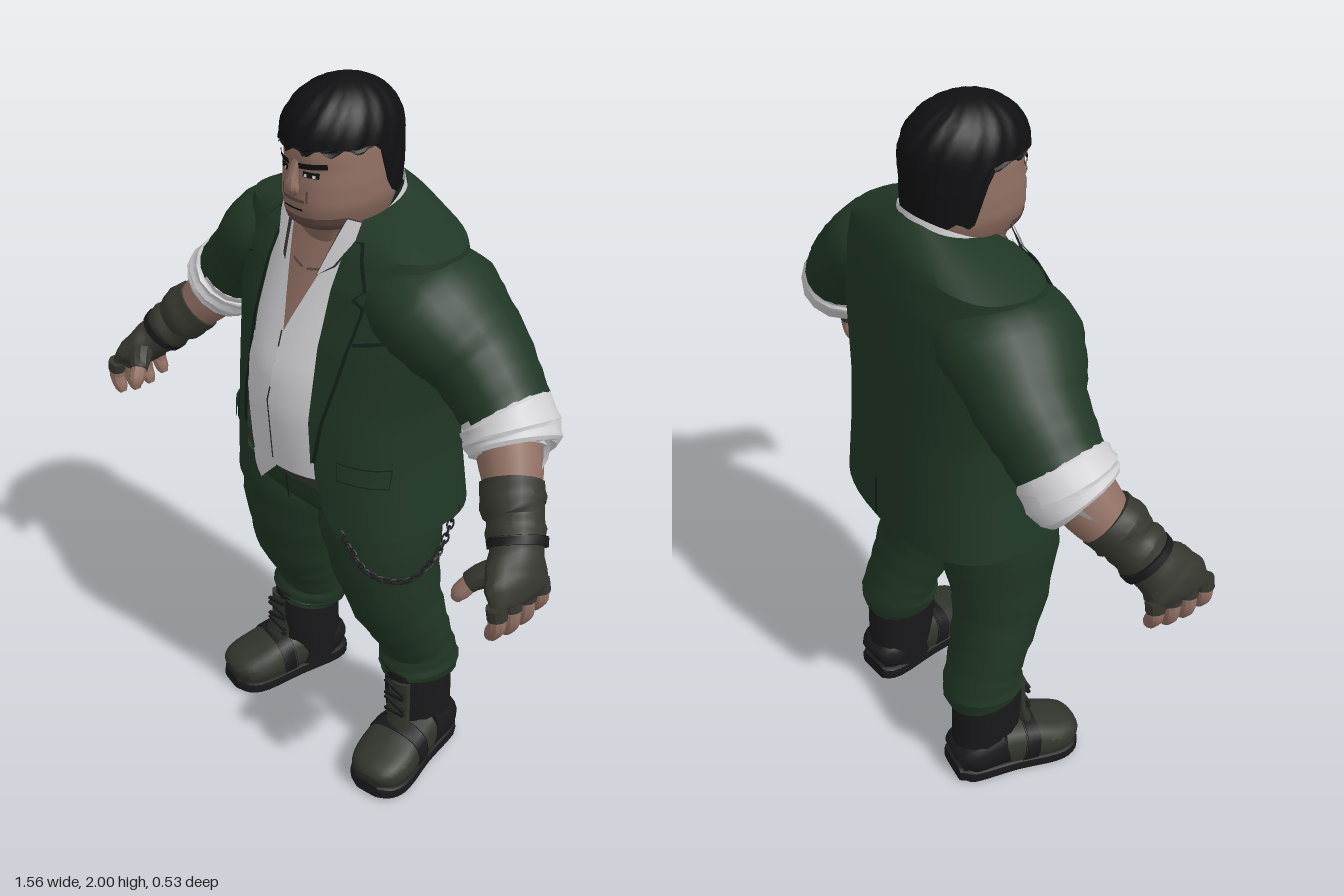
import * as THREE from 'three';
import { toCreasedNormals } from 'three/addons/utils/BufferGeometryUtils.js';

const mat = (name, color) => {
  const m = new THREE.MeshStandardMaterial({ color, side: THREE.DoubleSide });
  m.name = name;
  return m;
};

// Grid surface from f(u, v); u runs to +x and v downwards when seen from the front
function patch(f, nu, nv) {
  const pos = [], idx = [], P = [];
  for (let j = 0; j <= nv; j++) for (let i = 0; i <= nu; i++) {
    const p = f(i / nu, j / nv);
    P.push(p); pos.push(p.x, p.y, p.z);
  }
  const tri = (a, b, c) => {
    const n = P[b].clone().sub(P[a]).cross(P[c].clone().sub(P[a]));
    if (n.length() > 1e-9) idx.push(a, b, c);
  };
  for (let j = 0; j < nv; j++) for (let i = 0; i < nu; i++) {
    const a = j * (nu + 1) + i, c = a + nu + 1;
    tri(a, c, a + 1); tri(a + 1, c, c + 1);
  }
  const g = new THREE.BufferGeometry();
  g.setAttribute('position', new THREE.Float32BufferAttribute(pos, 3));
  g.setIndex(idx);
  return g;
}

// Linear lookup in rows [y, ...values] that go downwards
function row(table, y) {
  let i = 0;
  while (i < table.length - 2 && y < table[i + 1][0]) i++;
  const a = table[i], b = table[i + 1];
  const t = THREE.MathUtils.clamp((a[0] - y) / (a[0] - b[0]), 0, 1);
  return a.map((v, k) => v + (b[k] - v) * t);
}
const spow = (v, e) => Math.sign(v) * Math.abs(v) ** e;

// Upright body surface, rows [y, half width, front z, back z, tilt near the middle]; angle 0 faces front
function body(table, p, zc) {
  const at = (a, y, off = 0) => {
    const [, rx, zf, zb, tilt = 0] = row(table, y), c = Math.cos(a);
    const z = zc + spow(c, 2 / p) * ((c > 0 ? zf - zc : zc - zb) + off);
    const x = spow(Math.sin(a), 2 / p) * (rx + off);
    return new THREE.Vector3(x, y - tilt * z * Math.max(0, 1 - Math.abs(x) / .3), z);
  };
  const angle = (x, y) => Math.asin(spow(THREE.MathUtils.clamp(x / row(table, y)[1], -1, 1), p / 2));
  return { at, angle, front: (x, y, off) => at(angle(x, y), y, off) };
}
const shell = (b, y0, y1, nv, nu = 32) => patch((u, v) => b.at(u * Math.PI * 2, y0 + (y1 - y0) * v), nu, nv);
const plate = (b, x0, x1, y0, y1, off, slant = 0) =>
  patch((u, v) => b.front(x0 + (x1 - x0) * u, y0 + (y1 - y0) * v + slant * u, off), 4, 2);

// Closed limb through points [x, y, z, side radius, ref radius]
function limb(pts, { n = 16, ref = [0, 0, 1], p = 2, fold = 0, steps = 3 } = {}) {
  const curve = (f) => new THREE.CatmullRomCurve3(pts.map(f), false, 'catmullrom');
  const path = curve((q) => new THREE.Vector3(q[0], q[1], q[2]));
  const rad = curve((q) => new THREE.Vector3(q[3], q[4], 0));
  const rows = (pts.length - 1) * steps, R = new THREE.Vector3(...ref);
  return patch((u, v) => {
    const k = Math.round(v * (rows + 2)), t = THREE.MathUtils.clamp((k - 1) / rows, 0, 1);
    const c = path.getPoint(t), T = path.getTangent(t), r = rad.getPoint(t);
    if (k === 0 || k === rows + 2) return c;
    const b = R.clone().addScaledVector(T, -R.dot(T)).normalize(), a = b.clone().cross(T);
    const w = u * Math.PI * 2, s = 1 + fold * Math.sin(k * 2.1 + 2 * Math.sin(w));
    return c.addScaledVector(a, r.x * s * spow(Math.sin(w), 2 / p)).addScaledVector(b, r.y * s * spow(Math.cos(w), 2 / p));
  }, n, rows + 2);
}

export function createModel() {
  const jacket = mat('jacket green', 0x203625), trouser = mat('trouser green', 0x203524),
    seam = mat('seam dark green', 0x12211a), white = mat('shirt white', 0xcfcfd2),
    skin = mat('skin', 0x8f6e62), stubble = mat('stubble brown', 0x604a42), hair = mat('hair black', 0x101012),
    glove = mat('glove olive', 0x34352d), boot = mat('boot black', 0x19191b), panel = mat('boot panel', 0x31342c);
  const model = new THREE.Group();
  const add = (name, geo, m, s = 1, parent = model) => {
    if (s < 0) {
      geo.scale(-1, 1, 1);
      const ix = geo.index.array;
      for (let i = 0; i < ix.length; i += 3) [ix[i], ix[i + 1]] = [ix[i + 1], ix[i]];
    }
    const mesh = new THREE.Mesh(toCreasedNormals(geo, 0.6), m);
    mesh.name = name;
    parent.add(mesh);
    return mesh;
  };

  // Jacket with an open front
  const torso = body([[1.685, .118, .075, -.15, .4], [1.665, .215, .09, -.18, .35], [1.63, .325, .11, -.205, .25],
    [1.55, .335, .15, -.228, .1], [1.4, .32, .2, -.245, 0], [1.2, .295, .24, -.25, 0],
    [1.05, .305, .245, -.255, 0], [.86, .335, .235, -.262, 0]], 2.5, -.03);
  const edgeRows = [[1.685, .1], [1.64, .115], [1.45, .12], [1.2, .122], [1.02, .135], [.93, .155], [.86, .19]];
  const edge = (y) => row(edgeRows, y)[1];
  add('jacket', patch((u, v) => {
    const y = 1.685 - .825 * v, a0 = torso.angle(edge(y), y);
    return torso.at(a0 + u * (Math.PI * 2 - 2 * a0), y);
  }, 40, 30), jacket);
  add('backVent', patch((u, v) => torso.at(Math.PI + (u - .5) * .012, .99 - .12 * v, .004), 2, 4), seam);

  // Shirt and chest
  const belly = body([[1.7, .19, .07, -.1], [1.66, .2, .092, -.1], [1.6, .22, .12, -.1], [1.4, .25, .208, -.1], [1.3, .25, .25, -.1],
    [1.2, .25, .265, -.1], [1.1, .25, .258, -.1], [1, .26, .245, -.1], [.9, .27, .232, -.1]], 2, 0);
  add('chest', plate(belly, -.12, .12, 1.66, 1.36, -.012), skin);
  for (const s of [1, -1]) {
    add('shirtHalf', patch((u, v) => {
      const low = s > 0 ? 1.015 : u < .5 ? 1.01 - .2 * u : .91 + .06 * (u - .5);
      const y = 1.64 + (low - 1.64) * v, gap = Math.max(0, (y - 1.4) * .36);
      return belly.front(gap + (.2 - gap) * u, y);
    }, 8, 18), white, s);
    add('collarBone', plate(belly, .008, .05, 1.548, 1.542, -.007, .01), stubble, s);
    // Pointed collar flap with a shaded lower rim
    for (const [name, m, off, rim] of [['collarRim', glove, .013, .004], ['collarFlap', white, .019, 0]])
      add(name, patch((u, v) => {
        const y = 1.69 - v * (.135 + rim), x0 = .088 - .03 * v - rim, x1 = .122 - .05 * Math.max(0, v - .4) + rim;
        return belly.front(x0 + (x1 - x0) * u, y + .03 * u * v, off);
      }, 5, 8), m, s);
    // Lapels with a darker rim
    const width = [[1.66, .035], [1.56, .085], [1.535, .058], [1.52, .09], [1.35, .06], [1.08, .002]];
    for (const [name, m, off, rim] of [['lapelRim', seam, .005, .008], ['lapel', jacket, .012, 0]])
      add(name, patch((u, v) => {
        const y = 1.66 - .58 * v, e = edge(y) - .004;
        return torso.front(e + u * (row(width, y)[1] + rim), y, off);
      }, 4, 46), m, s);
    add('pocketFlapShadow', plate(torso, .19, .283, 1.1, 1.045, .004, -.025), seam, s);
    add('pocketFlap', plate(torso, .192, .281, 1.1, 1.052, .009, -.025), jacket, s);
  }
  add('breastPocket', plate(torso, .2, .27, 1.43, 1.42, .005, .015), seam);
  add('shirtPlacket', plate(belly, -.004, .001, 1.4, 1.04, .005), glove);
  // Collar band around the back of the neck
  add('collarBand', patch((u, v) => {
    const a = (u - .5) * 4, c = Math.cos(a);
    return new THREE.Vector3((.117 + .01 * v) * Math.sin(a), 1.692 + .06 * c - .05 * v, -.03 - (.126 + .008 * v) * c);
  }, 24, 3), white);

  // Head and face
  const head = body([[1.95, .06, .09, -.08], [1.9, .105, .148, -.12], [1.84, .114, .162, -.13], [1.81, .116, .158, -.13],
    [1.78, .119, .164, -.125], [1.72, .118, .168, -.12], [1.675, .1, .158, -.11], [1.65, .085, .13, -.1],
    [1.58, .09, .08, -.1], [1.5, .12, .06, -.1]], 2.3, 0);
  add('head', shell(head, 1.95, 1.5, 30), skin);
  add('chinStubble', patch((u, v) => head.at((u - .5) * 2.2, 1.695 - .035 * v, .003), 14, 5), stubble);
  add('moustache', plate(head, -.035, .035, 1.741, 1.733, .004), stubble);
  add('mouth', plate(head, -.03, .03, 1.718, 1.713, .004), hair);
  add('nose', limb([[0, 1.83, .155, .01, .008], [0, 1.79, .168, .014, .014], [0, 1.765, .172, .022, .016], [0, 1.75, .165, .014, .01]], { n: 10 }), skin);
  for (const s of [1, -1]) {
    add('eyeLine', plate(head, .026, .064, 1.811, 1.797, .003), hair, s);
    add('eyeWhite', plate(head, .03, .037, 1.806, 1.799, .005), white, s);
    add('eyeWhite', plate(head, .05, .057, 1.806, 1.799, .005), white, s);
    add('eyebrow', plate(head, .016, .078, 1.816, 1.83, .006, .006), hair, s);
    add('cheekCrease', plate(head, .038, .043, 1.765, 1.735, .003), stubble, s);
  }

  // Hair cap with sideburns and ragged locks
  add('hair', patch((u, v) => {
    const a = u * Math.PI * 2, c = Math.cos(a);
    const low = 1.725 + .135 * THREE.MathUtils.smoothstep(c, -.35, .05) + .008 * Math.sin(a * 14);
    const k = Math.sin(Math.min(1, v * 1.8) * Math.PI / 2), lock = 1 + (v > .1 ? .02 : 0) * Math.sin(a * 16 + v * 15);
    const y = v < .5556 ? 1.87 + .13 * Math.cos(v * 1.8 * Math.PI / 2) : 1.87 + (low - 1.87) * (v - .5556) / .4444;
    const tuck = 1 - .03 * THREE.MathUtils.clamp((1.8 - y) / .07, 0, 1);
    return new THREE.Vector3(.129 * Math.sin(a) * k * lock * tuck, y, .012 + c * .164 * k * lock * tuck);
  }, 64, 18), hair);

  // Trousers seat and belt
  const hips = body([[1.06, .27, .21, -.2], [.95, .285, .208, -.2], [.89, .295, .2, -.19], [.855, .2, .13, -.14]], 2.5, 0);
  add('trouserSeat', shell(hips, 1.06, .855, 8), trouser);
  add('belt', patch((u, v) => hips.at(u * Math.PI * 2, 1.025 - .045 * v, .012), 32, 2), glove);
  add('beltBuckle', plate(hips, .015, .06, 1.024, .982, .018), panel);
  add('fly', plate(hips, -.003, .003, .975, .89, .005), seam);

  for (const s of [1, -1]) {
    const leg = new THREE.Group(), arm = new THREE.Group();
    leg.name = s > 0 ? 'leftLeg' : 'rightLeg';
    arm.name = s > 0 ? 'leftArm' : 'rightArm';
    model.add(leg, arm);

    // Trouser leg gathered over the boot
    add('trouserLeg', limb([[.15, .93, .01, .15, .18], [.165, .8, .02, .154, .172], [.195, .6, .005, .13, .137],
      [.215, .47, -.035, .121, .11], [.225, .38, -.065, .114, .1], [.232, .32, -.07, .114, .116], [.237, .285, -.065, .1, .11]],
      { n: 20, fold: .022, steps: 4 }), trouser, s, leg);
    // Boot
    add('bootShaft', limb([[.24, .33, -.06, .083, .108], [.243, .2, -.062, .082, .108], [.243, .08, -.07, .08, .1], [.243, .03, -.07, .08, .1]]), boot, s, leg);
    const up = { ref: [0, 1, 0], p: 2.6 };
    add('bootHeel', limb([[.238, .06, -.168, .055, .04], [.243, .075, -.13, .08, .06], [.262, .095, -.03, .084, .08]], up), boot, s, leg);
    add('bootFoot', limb([[.26, .09, -.04, .082, .078], [.275, .078, .05, .088, .07], [.291, .068, .12, .09, .055],
      [.302, .06, .172, .075, .046], [.306, .05, .195, .04, .03]], up), panel, s, leg);
    add('bootStrap', limb([[.27, .082, .02, .0895, .077], [.278, .077, .064, .0915, .07]], up), boot, s, leg);
    add('bootSole', limb([[.235, .024, -.175, .055, .024], [.24, .024, -.13, .082, .024], [.265, .022, 0, .084, .022],
      [.291, .022, .12, .094, .022], [.303, .023, .175, .078, .021], [.308, .026, .202, .04, .018]], { ref: [0, 1, 0], p: 5 }), boot, s, leg);
    add('bootTongue', limb([[.255, .3, .03, .042, .02], [.258, .2, .032, .042, .02], [.268, .13, .045, .045, .025]], { n: 10 }), panel, s, leg);
    for (let i = 0; i < 5; i++)
      add('bootLace', new THREE.BoxGeometry(.075, .008, .01).rotateZ(i % 2 ? .2 : -.2).translate(.257 + i * .001, .28 - i * .03, .05), boot, s, leg);

    // Sleeve and rolled shirt cuff
    add('sleeve', limb([[.17, 1.525, -.03, .1, .16], [.27, 1.5, -.036, .132, .184], [.335, 1.455, -.045, .128, .168], [.4, 1.4, -.058, .117, .145],
      [.46, 1.345, -.055, .11, .128], [.515, 1.29, -.05, .102, .118]], { n: 20, fold: .012, steps: 4 }), jacket, s, arm);
    add('shirtCuff', limb([[.5, 1.3, -.046, .1, .112], [.52, 1.28, -.044, .112, .124], [.545, 1.245, -.036, .114, .126],
      [.565, 1.22, -.026, .105, .115], [.568, 1.217, -.024, .075, .08]], { fold: .025 }), white, s, arm);
    // Forearm, glove wraps and hand
    add('forearm', limb([[.53, 1.26, -.03, .08, .085], [.58, 1.19, 0, .076, .08], [.63, 1.13, .04, .06, .065]]), skin, s, arm);
    add('glove', limb([[.605, 1.165, .022, .078, .078], [.635, 1.13, .05, .08, .08], [.655, 1.11, .06, .068, .07], [.675, 1.085, .08, .07, .075],
      [.695, 1.06, .095, .06, .068], [.722, 1.025, .125, .052, .085], [.742, .995, .142, .042, .094], [.75, .97, .147, .03, .087]], { fold: .03 }), glove, s, arm);
    add('wristStrap', limb([[.682, 1.076, .082, .072, .077], [.694, 1.06, .092, .069, .076]]), boot, s, arm);
    for (let i = 0; i < 4; i++) {
      const z = .222 - i * .05, d = [.012, 0, .002, .018][i];
      add('gloveFinger', limb([[.75, .99, z, .025, .025], [.757, .958, z, .025, .025]], { n: 10 }), glove, s, arm);
      add('finger', limb([[.752, .97, z, .022, .022], [.757, .925 + d, z, .022, .022], [.742, .893 + d, z, .019, .019], [.732, .878 + d, z, .01, .01]], { n: 10 }), skin, s, arm);
    }
    add('gloveThumb', limb([[.71, 1.04, .15, .035, .035], [.67, 1.015, .195, .03, .03], [.655, .998, .212, .026, .026]], { n: 10 }), glove, s, arm);
    add('thumb', limb([[.66, 1.005, .205, .022, .022], [.645, .975, .23, .022, .022], [.64, .955, .24, .012, .012]], { n: 10 }), skin, s, arm);
  }

  // Hanging chain on the left hip
  const hang = new THREE.CatmullRomCurve3([[.2, .88, .2], [.28, .785, .18], [.333, .74, .09], [.335, .77, -.02], [.32, .87, -.1]]
    .map((q) => new THREE.Vector3(...q)));
  const chain = new THREE.Group();
  chain.name = 'chain';
  model.add(chain);
  for (let i = 0; i <= 24; i++) {
    const link = add('chainLink', new THREE.TorusGeometry(.01, .0035, 5, 10).scale(1.3, .8, 1), boot, 1, chain);
    link.position.copy(hang.getPointAt(i / 24));
    link.quaternion.setFromUnitVectors(new THREE.Vector3(1, 0, 0), hang.getTangentAt(i / 24));
    link.rotateX(i % 2 ? Math.PI / 2 : 0);
  }
  return model;
}
